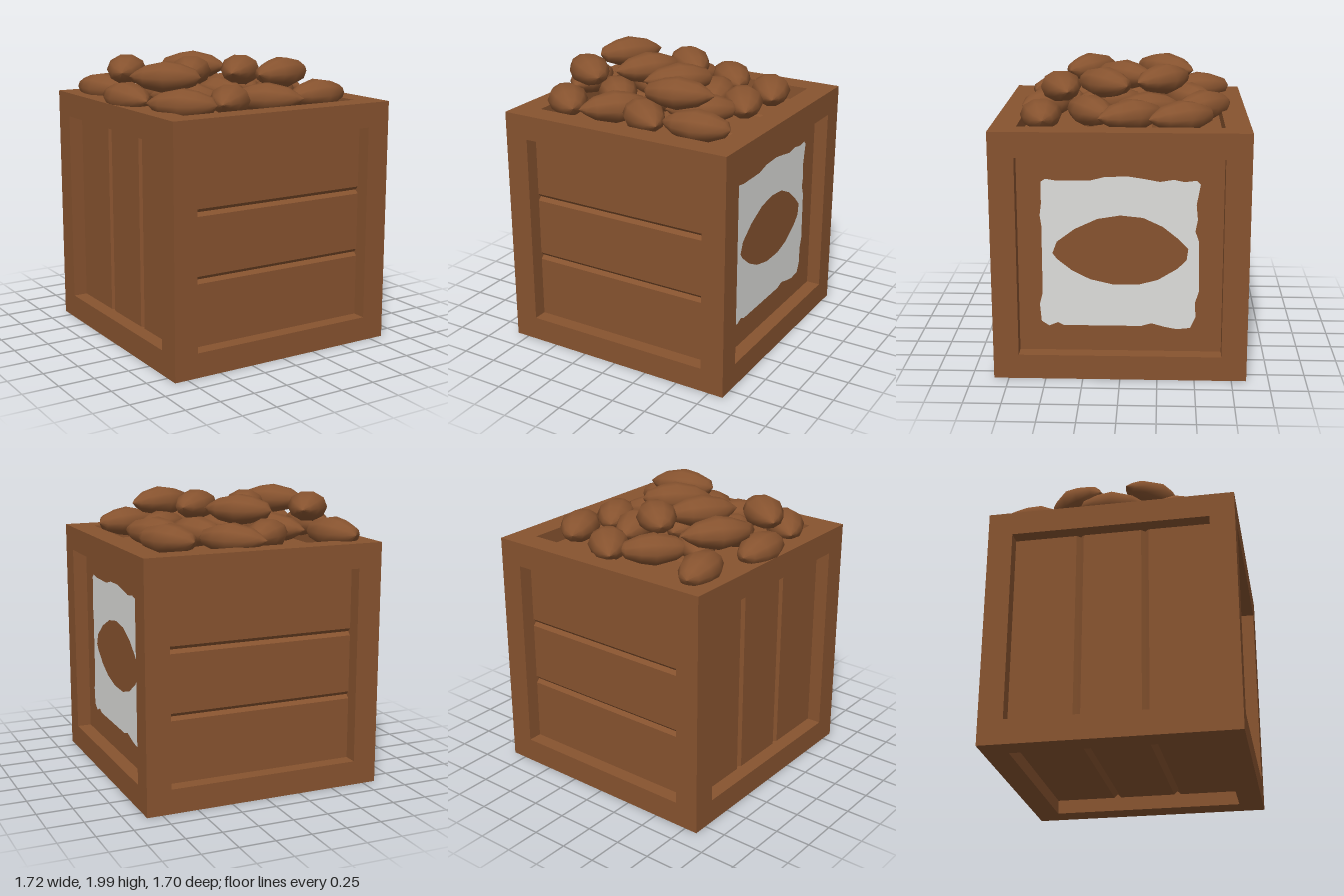
import * as THREE from 'three';

const wood = new THREE.MeshStandardMaterial({ color: 0x87532f });
wood.name = 'brown wood';
const paperWhite = new THREE.MeshStandardMaterial({ color: 0xdcdcda, side: THREE.DoubleSide });
paperWhite.name = 'paper white';

const HALF = 0.85;    // half the crate's side
const BEAM = 0.17;    // beam thickness
const OPEN = HALF - BEAM;
const FACE = 0.75;    // distance of the recessed panels from the middle

function addMesh(parent, name, geometry, material = wood) {
  const mesh = new THREE.Mesh(geometry, material);
  mesh.name = name;
  parent.add(mesh);
  return mesh;
}

// Twelve square beams along the crate's edges
function makeFrame() {
  const frame = new THREE.Group();
  frame.name = 'frame';
  const c = HALF - BEAM / 2;
  const post = new THREE.BoxGeometry(BEAM, 2 * HALF, BEAM);
  const railX = new THREE.BoxGeometry(2 * OPEN, BEAM, BEAM);
  const railZ = new THREE.BoxGeometry(BEAM, BEAM, 2 * OPEN);
  for (const a of [-c, c]) {
    for (const b of [-c, c]) {
      addMesh(frame, 'cornerPost', post).position.set(a, 0, b);
      addMesh(frame, 'crossRail', railX).position.set(0, a, b);
      addMesh(frame, 'sideRail', railZ).position.set(a, b, 0);
    }
  }
  return frame;
}

// Three planks with V grooves between them, facing +y, grooves along x
function plankGeometry() {
  const s = new THREE.Shape();
  s.moveTo(-OPEN, FACE - 0.07);
  s.lineTo(OPEN, FACE - 0.07);
  s.lineTo(OPEN, FACE);
  for (const g of [0.225, -0.225]) {
    s.lineTo(g + 0.025, FACE);
    s.lineTo(g, FACE - 0.025);
    s.lineTo(g - 0.025, FACE);
  }
  s.lineTo(-OPEN, FACE);
  const geo = new THREE.ExtrudeGeometry(s, { depth: 2 * OPEN, bevelEnabled: false });
  return geo.translate(0, 0, -OPEN).rotateY(Math.PI / 2);
}

// Torn paper label with an oval cut out; x runs along the panel, y is height
function labelGeometry() {
  const toPoints = (a) => a.map(([x, y]) => new THREE.Vector2(x, y - HALF));
  const sheet = new THREE.Shape(toPoints([
    [-.52, 1.35], [-.49, 1.37], [-.43, 1.36], [-.2, 1.36], [-.1, 1.385], [.05, 1.39], [.15, 1.375],
    [.26, 1.355], [.35, 1.37], [.42, 1.355], [.5, 1.365], [.525, 1.34], [.5, 1.2], [.51, 1.1],
    [.495, 1.02], [.52, .95], [.525, .6], [.5, .52], [.505, .42], [.47, .34], [.38, .33], [.3, .345],
    [.21, .37], [.14, .35], [-.38, .35], [-.42, .37], [-.48, .345], [-.53, .38], [-.54, .5],
    [-.52, .58], [-.52, 1.05], [-.53, 1.12], [-.52, 1.2]]));
  sheet.holes.push(new THREE.Path(toPoints([
    [-.45, .86], [-.42, .94], [-.3, 1.03], [-.15, 1.1], [0, 1.125], [.15, 1.11], [.28, 1.05],
    [.38, .97], [.45, .9], [.44, .82], [.38, .76], [.25, .68], [.12, .645], [-.05, .645],
    [-.2, .68], [-.32, .74], [-.42, .82]])));
  return new THREE.ShapeGeometry(sheet);
}

// Potato lying along x with its pointed end towards +x
function potatoGeometry() {
  const profile = [[0, -.235], [.07, -.2], [.118, -.1], [.14, 0], [.1, .14], [.05, .205], [0, .25]];
  const geo = new THREE.LatheGeometry(profile.map(([r, y]) => new THREE.Vector2(r, y)), 10);
  return geo.rotateZ(-Math.PI / 2).scale(1, 0.77, 1);
}

// x, z and direction of the pointed end in degrees, clockwise from above
const LOWER = [
  [-.63, -.54, 75], [-.18, -.45, 135], [.13, -.56, -133], [.53, -.4, 61], [-.34, -.2, -130],
  [.22, -.17, -110], [.49, -.06, 58], [-.72, 0, 85], [-.375, .18, -133], [-.04, .1, 80],
  [.33, .22, 147], [-.575, .5, -134], [-.2, .48, 133], [.065, .53, 40], [.47, .54, 172],
];
const UPPER = [
  [-.57, -.29, -55], [-.05, -.27, 43], [-.225, .01, 125], [.1, .135, 135], [-.56, .255, -140],
  [.26, .42, -15],
];

export function createModel() {
  const model = new THREE.Group();
  model.name = 'potatoCrate';

  const crate = new THREE.Group();
  crate.name = 'crate';
  crate.position.set(0.007, HALF, 0);
  crate.add(makeFrame());
  model.add(crate);

  // Recessed plank panels
  const quarter = Math.PI / 2;
  const planks = plankGeometry();
  const turns = { topPanel: 0, frontPanel: quarter, bottomPanel: Math.PI, backPanel: -quarter };
  for (const [name, turn] of Object.entries(turns)) {
    addMesh(crate, name, planks).rotation.x = turn;
  }
  addMesh(crate, 'rightPanel', planks.clone().rotateX(quarter).rotateZ(quarter).rotateY(-quarter));

  // Plain panel carrying the label
  addMesh(crate, 'leftPanel', new THREE.BoxGeometry(0.07, 2 * OPEN, 2 * OPEN)).position.x = FACE - 0.035;
  const label = addMesh(crate, 'paperLabel', labelGeometry(), paperWhite);
  label.rotation.y = quarter;
  label.position.x = FACE + 0.004;

  // Two layers of potatoes
  const potatoes = new THREE.Group();
  potatoes.name = 'potatoes';
  model.add(potatoes);
  const potato = potatoGeometry();
  for (const [layer, y] of [[LOWER, 1.74], [UPPER, 1.892]]) {
    for (const [x, z, deg] of layer) {
      const mesh = addMesh(potatoes, 'potato', potato);
      mesh.position.set(x, y, z);
      mesh.rotation.y = -THREE.MathUtils.degToRad(deg);
    }
  }
  return model;
}
